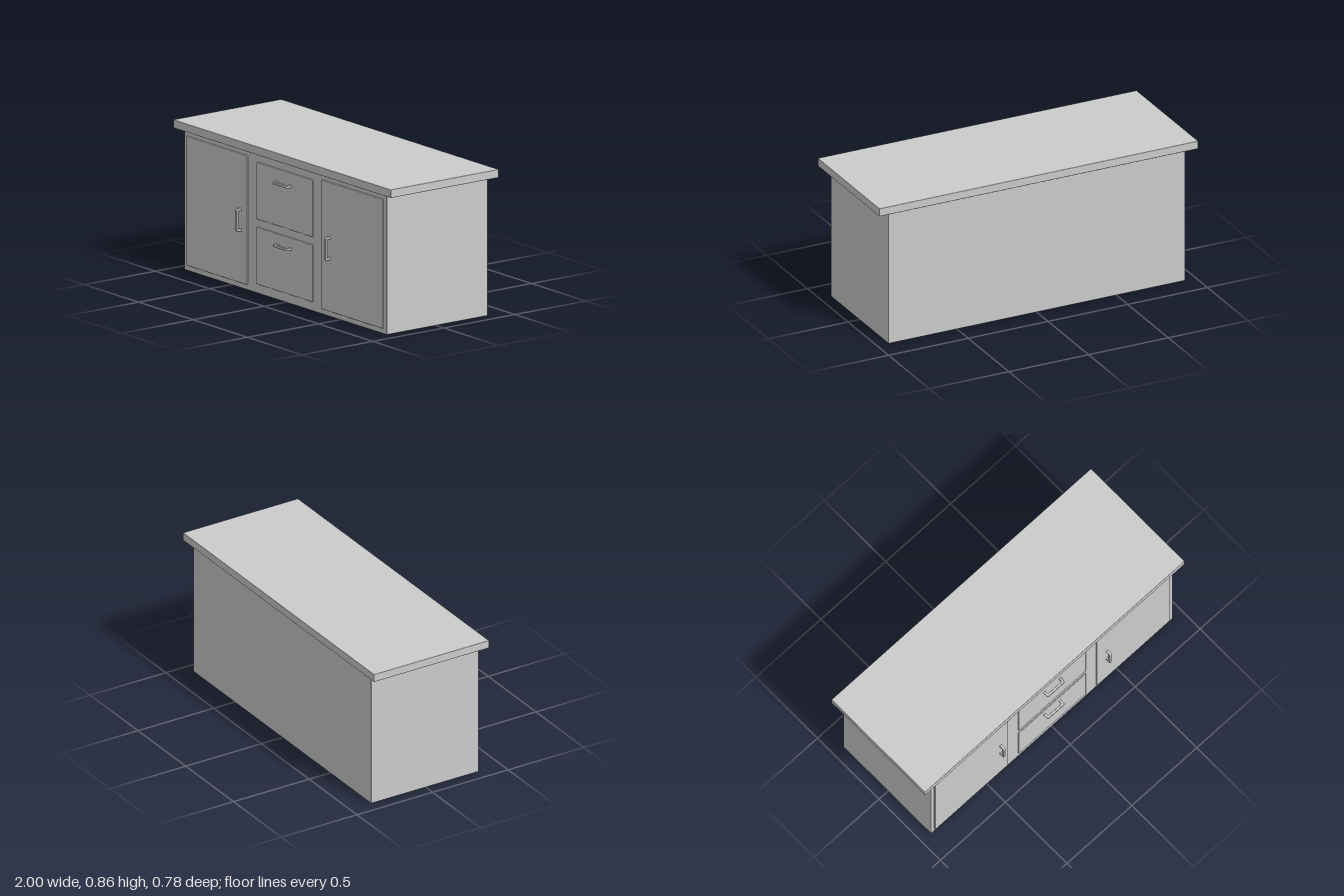
import * as THREE from 'three';
import { RoundedBoxGeometry } from 'three/addons/geometries/RoundedBoxGeometry.js';

const material = new THREE.MeshStandardMaterial({ color: 0xcccccc });

// Softly edged box given by its minimum and maximum corners
function block(name, [x0, y0, z0], [x1, y1, z1], radius) {
  const geometry = new RoundedBoxGeometry(x1 - x0, y1 - y0, z1 - z0, 2, radius);
  const mesh = new THREE.Mesh(geometry, material);
  mesh.position.set((x0 + x1) / 2, (y0 + y1) / 2, (z0 + z1) / 2);
  mesh.name = name;
  return mesh;
}

// U-shaped pull, lying along x with its legs pointing back towards -z
function pullGeometry(length) {
  const bevel = 0.003, reach = 0.042, bar = 0.015, round = 0.008;
  const h = length / 2 - bevel, d = reach - bevel, t = bar - 2 * bevel;
  const s = new THREE.Shape();
  s.moveTo(-h, 0);
  s.lineTo(-h, d - round);
  s.quadraticCurveTo(-h, d, -h + round, d);
  s.lineTo(h - round, d);
  s.quadraticCurveTo(h, d, h, d - round);
  s.lineTo(h, 0);
  s.lineTo(h - t, 0);
  s.lineTo(h - t, d - t);
  s.lineTo(-h + t, d - t);
  s.lineTo(-h + t, 0);
  s.closePath();
  const geometry = new THREE.ExtrudeGeometry(s, {
    depth: t, bevelEnabled: true, bevelSize: bevel, bevelThickness: bevel, bevelSegments: 3, curveSegments: 6,
  });
  geometry.translate(0, 0, -t / 2);
  return geometry.rotateX(Math.PI / 2);
}

export function createModel() {
  const group = new THREE.Group();
  group.name = 'sideboard';

  // Carcass and overhanging worktop
  group.add(block('cabinetBody', [-0.93, 0, -0.362], [0.93, 0.808, 0.349], 0.003));
  group.add(block('worktop', [-1, 0.807, -0.387], [1, 0.855, 0.374], 0.003));

  const pull = pullGeometry(0.134);
  const addHandle = (name, x, y, upright) => {
    const mesh = new THREE.Mesh(pull, material);
    mesh.name = name;
    mesh.position.set(x, y, 0.348);
    if (upright) mesh.rotation.z = Math.PI / 2;
    group.add(mesh);
  };

  // Doors at either end, pulls on the inner edges
  for (const [side, x0, x1, handleX] of [['right', -0.905, -0.343, -0.402], ['left', 0.34, 0.902, 0.416]]) {
    group.add(block(side + 'Door', [x0, 0.031, 0.335], [x1, 0.777, 0.357], 0.003));
    addHandle(side + 'DoorHandle', handleX, 0.397, true);
  }

  // Two drawers between the doors
  for (const [level, y0, y1, handleY] of [['upper', 0.428, 0.758, 0.681], ['lower', 0.053, 0.383, 0.32]]) {
    group.add(block(level + 'Drawer', [-0.26, y0, 0.335], [0.258, y1, 0.355], 0.003));
    addHandle(level + 'DrawerHandle', -0.002, handleY, false);
  }
  return group;
}
